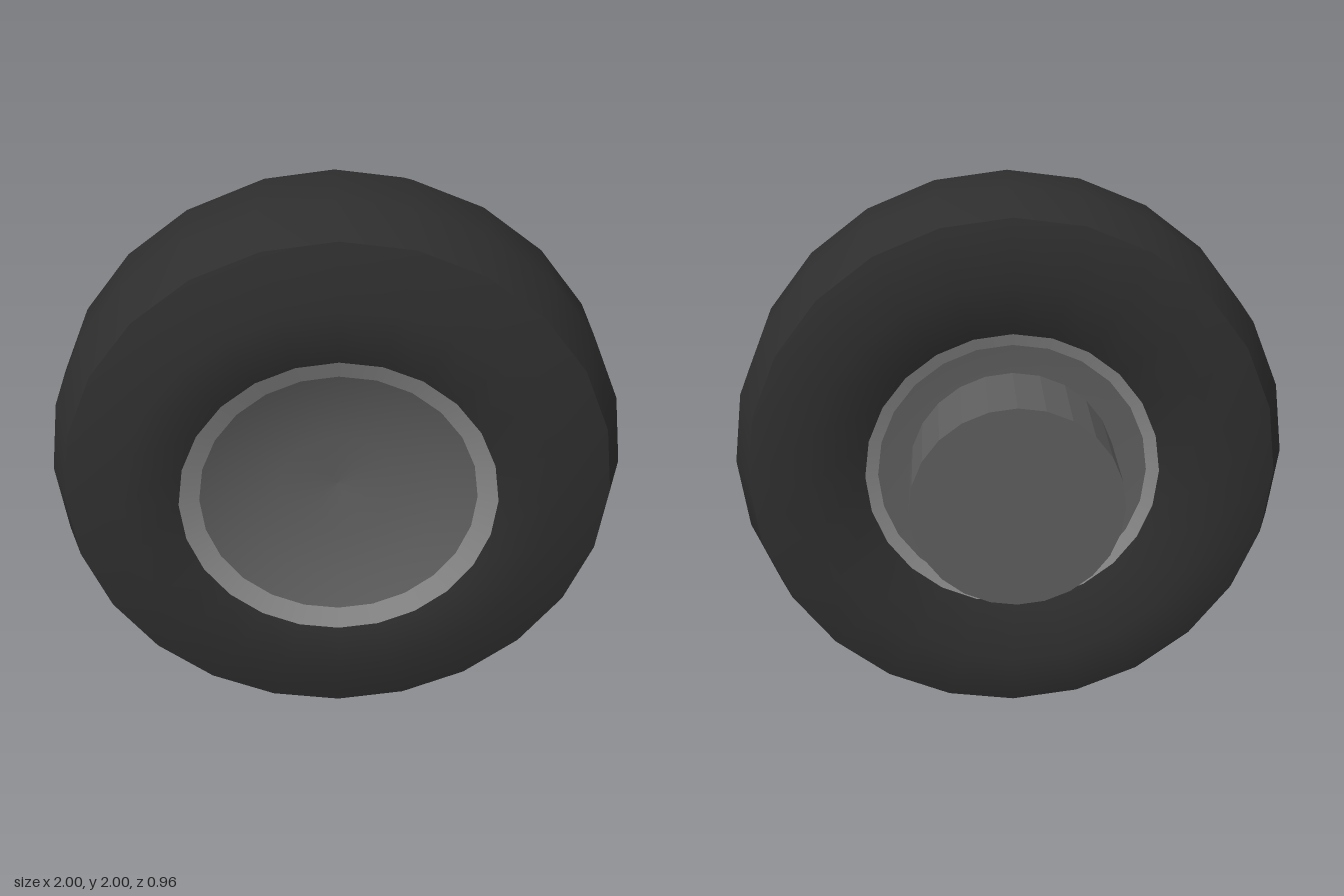
import * as THREE from 'three';

const SIDES = 24;
const MID = 0.11; // centre plane of the wheel along z

export function createModel() {
  const group = new THREE.Group();
  const rubber = new THREE.MeshStandardMaterial({ color: 0x2e2e2e });
  const lipGrey = new THREE.MeshStandardMaterial({ color: 0x888888 });
  const dishGrey = new THREE.MeshStandardMaterial({ color: 0x5e5e5e });
  const hubGrey = new THREE.MeshStandardMaterial({ color: 0x5e5e5e, flatShading: true });

  const add = (name, geometry, material) => {
    const mesh = new THREE.Mesh(geometry, material);
    mesh.name = name;
    mesh.position.set(0, 1, MID);
    group.add(mesh);
    return mesh;
  };

  // Turn a [radius, z] profile around the axle
  const turn = (profile) =>
    new THREE.LatheGeometry(profile.map(([r, z]) => new THREE.Vector2(r, z)), SIDES).rotateX(Math.PI / 2);

  // Tread with rounded shoulders
  add('tyreTread', turn([[0.935, -0.307], [1, -0.122], [1, 0.122], [0.935, 0.307]]), rubber);

  // Front face: the sidewall rolls in behind a shallow lip and a bowl-shaped dish
  add('tyreSidewallFront', turn([[0.935, 0.307], [0.73, 0.37], [0.543, 0.36], [0.5, 0.3]]), rubber);
  add('rimLipFront', turn([[0.543, 0.365], [0.475, 0.335]]), lipGrey);
  add('rimDishFront', turn([[0.475, 0.335], [0.36, 0.29], [0.2, 0.255], [0, 0.24]]), dishGrey);

  // Back face: deeper sidewall around a thin lip and a nearly flat plate
  add('tyreSidewallBack', turn([[0.525, -0.285], [0.73, -0.37], [0.935, -0.307]]), rubber);
  add('rimLipBack', turn([[0.48, -0.268], [0.525, -0.285]]), lipGrey);
  add('rimDishBack', turn([[0, -0.25], [0.367, -0.258], [0.48, -0.268]]), dishGrey);

  // Axle stub sticking out of the back
  const stub = new THREE.CylinderGeometry(0.367, 0.367, 0.35, SIDES).rotateX(Math.PI / 2);
  add('axleStub', stub, hubGrey).position.set(0, 1.007, -0.305);

  return group;
}
